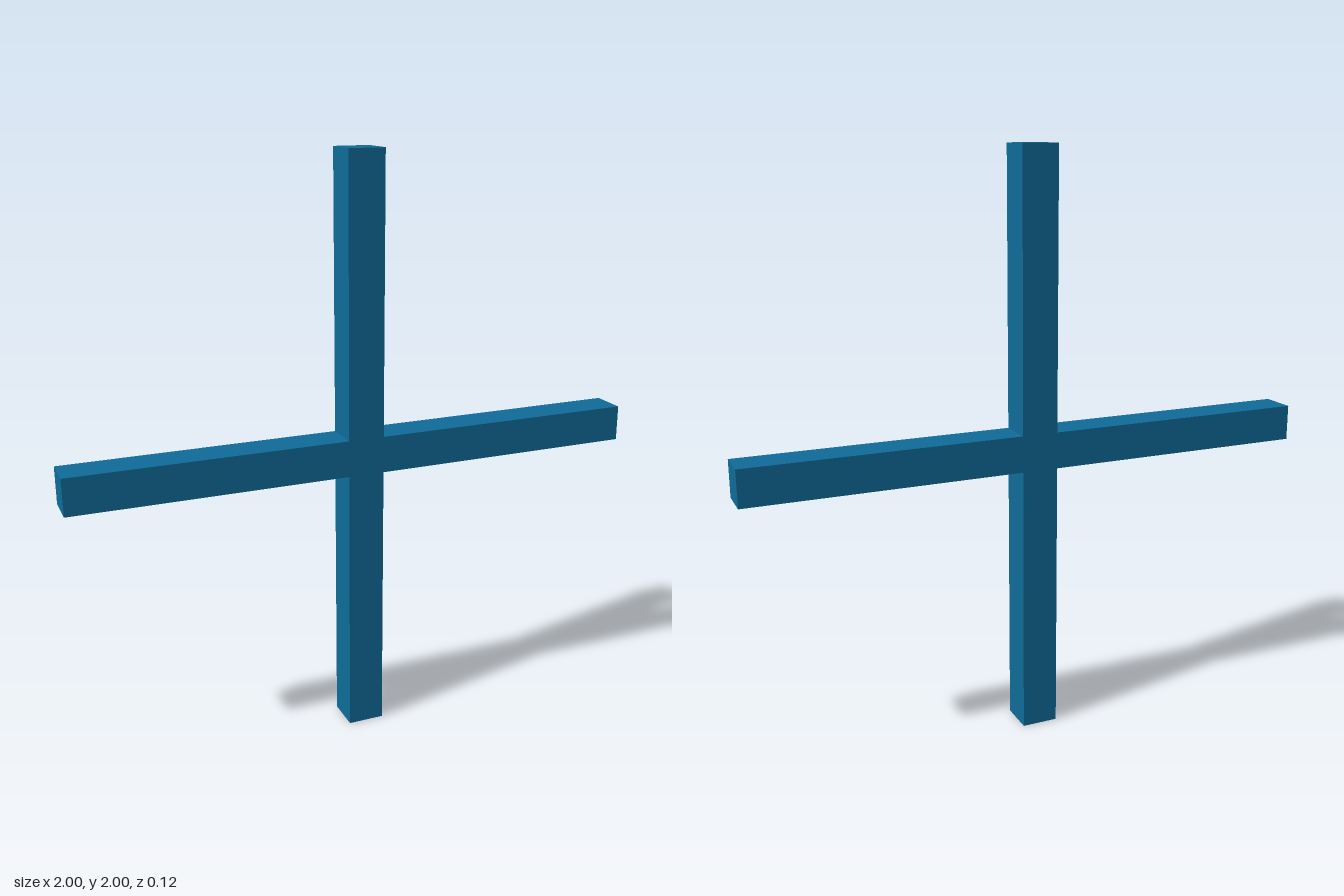
import * as THREE from 'three';

const HALF = 1;          // half length of each bar
const THICK = 0.125;     // square section of the bars

export function createModel() {
  const model = new THREE.Group();
  const h = THICK / 2;

  // Plus-shaped outline: one arm's three corners, turned to all four sides
  const outline = [];
  for (let i = 0; i < 4; i++) {
    const turn = i * Math.PI / 2;
    for (const [x, y] of [[h, -h], [HALF, -h], [HALF, h]]) {
      outline.push(new THREE.Vector2(x, y).rotateAround(new THREE.Vector2(), turn));
    }
  }

  // Both bars joined as a single solid, standing on the ground
  const geometry = new THREE.ExtrudeGeometry(new THREE.Shape(outline), {
    depth: THICK,
    bevelEnabled: false,
  });
  geometry.translate(0, HALF, -h);

  const cross = new THREE.Mesh(
    geometry,
    new THREE.MeshStandardMaterial({ color: 0x0f6c99, flatShading: true }),
  );
  cross.name = 'crossedBars';
  model.add(cross);
  return model;
}
